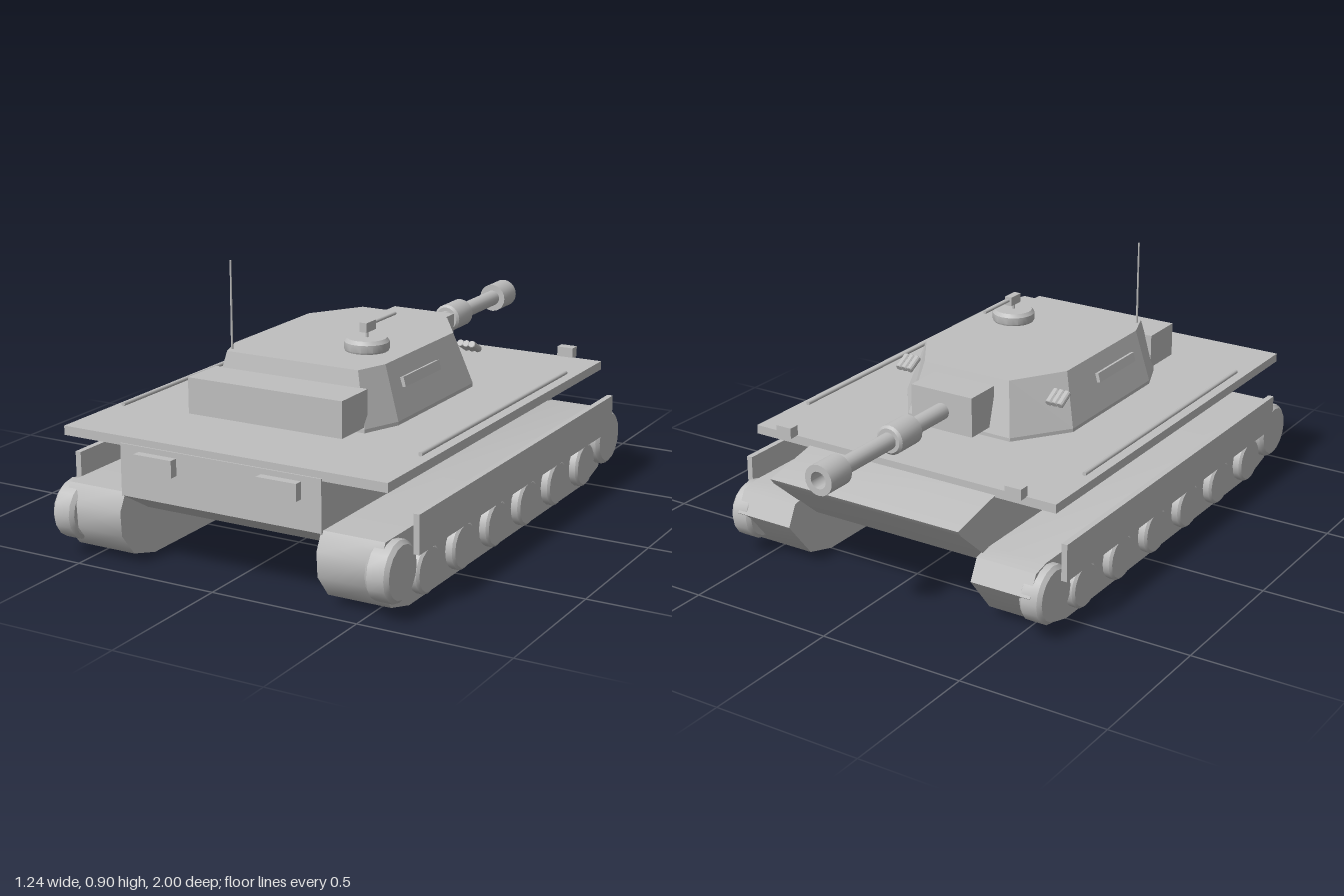
import * as THREE from 'three';
import { toCreasedNormals } from 'three/addons/utils/BufferGeometryUtils.js';

export function createModel() {
  const model = new THREE.Group();
  const grey = new THREE.MeshStandardMaterial({ color: 0xbfbfbf });
  grey.name = 'plain grey';

  const add = (name, geometry, x = 0, y = 0, z = 0) => {
    const mesh = new THREE.Mesh(geometry, grey);
    mesh.name = name;
    mesh.position.set(x, y, z);
    model.add(mesh);
    return mesh;
  };
  // box given by its limits on each axis
  const box = (name, x0, x1, y0, y1, z0, z1) =>
    add(name, new THREE.BoxGeometry(x1 - x0, y1 - y0, z1 - z0),
      (x0 + x1) / 2, (y0 + y1) / 2, (z0 + z1) / 2);
  // side profile of [z, y] points, extruded across x and centred
  const slab = (profile, width, crease) => {
    const shape = new THREE.Shape(profile.map(([z, y]) => new THREE.Vector2(z, y)));
    const g = new THREE.ExtrudeGeometry(shape, { depth: width, bevelEnabled: false });
    g.translate(0, 0, -width / 2).rotateY(-Math.PI / 2);
    return toCreasedNormals(g, crease);
  };
  // turned solid standing on its y axis
  const turned = (points, sides = 20) => toCreasedNormals(
    new THREE.LatheGeometry(points.map(([r, y]) => new THREE.Vector2(r, y)), sides), 0.5);
  const drum = (r, length, bevel, sides) => {
    const h = length / 2;
    return turned([[0, -h], [r - bevel, -h], [r, -h + bevel], [r, h - bevel], [r - bevel, h], [0, h]], sides);
  };

  // hull with pointed nose, and the wide deck
  add('hull', slab([[-0.57, 0.165], [0.83, 0.165], [0.955, 0.24], [0.955, 0.408],
    [-0.58, 0.408], [-0.79, 0.365], [-0.775, 0.345]], 0.715, 0.3));
  box('deck', -0.575, 0.575, 0.4, 0.43, -0.585, 0.95);

  // running gear and fittings on both sides
  const trackProfile = [[-0.5, 0.005], [0.8, 0.005], [0.91, 0.035], [0.97, 0.11], [0.975, 0.19],
    [0.945, 0.248], [-0.62, 0.248], [-0.68, 0.235], [-0.715, 0.165], [-0.61, 0.035]];
  for (const s of [-1, 1]) {
    const side = s > 0 ? 'left' : 'right';
    add(side + 'Track', slab(trackProfile, 0.213, 0.7), s * 0.458, 0, 0);
    for (const [z, y] of [[0.905, 0.15], [-0.62, 0.147]])
      add(side + 'EndWheel', drum(0.096, 0.08, 0.012, 16).rotateZ(Math.PI / 2), s * 0.56, y, z);
    for (let i = 0; i < 6; i++)
      add(side + 'RoadWheel', drum(0.077, 0.07, 0.008, 16).rotateZ(Math.PI / 2),
        s * 0.56, 0.098, 0.725 - i * 0.231);
    box(side + 'Skirt', s * 0.61 - 0.01, s * 0.61 + 0.01, 0.185, 0.31, -0.592, 0.842);
    add(side + 'DeckRod', new THREE.CylinderGeometry(0.007, 0.007, 1.05, 8).rotateX(Math.PI / 2),
      s * 0.54, 0.438, 0.165);
    box(side + 'HeadLamp', s * 0.44 - 0.029, s * 0.44 + 0.029, 0.428, 0.464, -0.615, -0.578);
    box(side + 'RearBox', s * 0.22 - 0.069, s * 0.22 + 0.069, 0.335, 0.39, 0.95, 0.983);

    // side vision slit, leaning with the turret wall
    add(side + 'VisionSlit', new THREE.BoxGeometry(0.016, 0.032, 0.24), s * 0.303, 0.548, 0.245)
      .rotation.z = s * 0.26;

    // three smoke dischargers
    for (let i = 0; i < 3; i++) {
      const tube = add(side + 'SmokeDischarger', drum(0.012, 0.06, 0.002, 12),
        s * (0.275 + i * 0.021), 0.556, -0.115);
      tube.rotation.x = -Math.PI / 2 - 0.5;
    }
  }

  // turret: octagonal rings joined from bottom to top
  const ring = (half, y) => [
    ...half.map(([x, z]) => [x, y, z]),
    ...half.slice().reverse().map(([x, z]) => [-x, y, z])];
  const baseHalf = [[0.2, -0.255], [0.33, -0.075], [0.33, 0.44], [0.28, 0.565]];
  const topHalf = [[0.165, -0.205], [0.278, -0.03], [0.278, 0.43], [0.24, 0.535]];
  const rings = [ring(baseHalf, 0.428), ring(baseHalf, 0.442), ring(topHalf, 0.618)];
  const corners = [];
  const n = rings[0].length;
  for (let i = 0; i < n; i++) {
    const j = (i + 1) % n;
    for (let k = 0; k < 2; k++) {
      const [a, b, c, d] = [rings[k][i], rings[k][j], rings[k + 1][j], rings[k + 1][i]];
      corners.push(a, c, b, a, d, c);
    }
    corners.push(rings[2][i], [0, 0.618, 0.15], rings[2][j]);
    corners.push(rings[0][i], rings[0][j], [0, 0.428, 0.15]);
  }
  const turret = new THREE.BufferGeometry();
  turret.setAttribute('position', new THREE.Float32BufferAttribute(corners.flat(), 3));
  turret.computeVertexNormals();
  add('turret', turret);
  box('turretBin', -0.28, 0.277, 0.447, 0.565, 0.54, 0.697);

  // gun: mantlet, barrel, sleeve and hollow muzzle, pointing to -z
  box('mantlet', -0.118, 0.116, 0.46, 0.595, -0.352, -0.22);
  const gunPart = (name, g, z) => add(name, g.rotateX(-Math.PI / 2), -0.002, 0.527, z);
  gunPart('barrel', new THREE.CylinderGeometry(0.028, 0.028, 0.6, 20), -0.63);
  gunPart('sleeve', drum(0.049, 0.122, 0.008), -0.584);
  gunPart('muzzle', turned([[0, -0.05], [0.05, -0.05], [0.05, 0.05],
    [0.028, 0.05], [0.028, -0.01], [0, -0.01]]), -0.95);

  // commander's cupola with machine gun
  add('cupola', turned([[0, 0], [0.07, 0], [0.073, 0.006], [0.073, 0.03], [0.064, 0.042], [0, 0.042]], 24),
    0.138, 0.617, 0.3);
  add('gunPost', new THREE.CylinderGeometry(0.005, 0.005, 0.04, 8), 0.138, 0.67, 0.3);
  box('gunBody', 0.125, 0.151, 0.679, 0.71, 0.265, 0.325);
  add('gunBarrel', new THREE.CylinderGeometry(0.006, 0.006, 0.17, 8).rotateX(Math.PI / 2), 0.138, 0.698, 0.2);

  // whip aerial
  add('aerial', new THREE.CylinderGeometry(0.003, 0.004, 0.31, 8), -0.24, 0.752, 0.505);

  return model;
}
